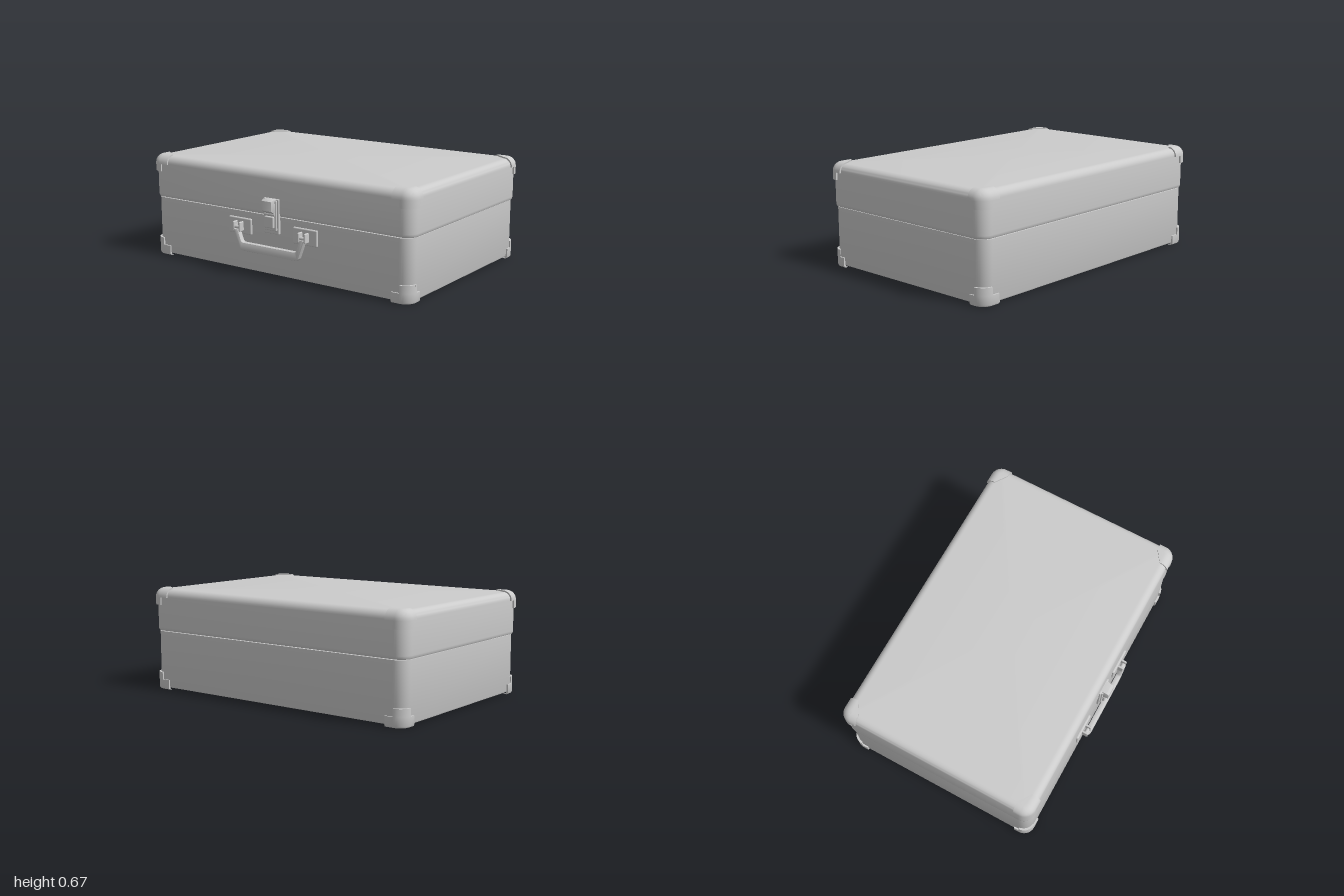
import * as THREE from 'three';
import { toCreasedNormals } from 'three/addons/utils/BufferGeometryUtils.js';
import { RoundedBoxGeometry } from 'three/addons/geometries/RoundedBoxGeometry.js';

const grey = new THREE.MeshStandardMaterial({ color: 0xcccccc, side: THREE.DoubleSide });
const CZ = -0.0225;   // case centre in z
const FRONT = 0.63;   // front wall of the lower case
const R = 0.075;      // plan radius of the vertical corners

function add(parent, name, geometry, x = 0, y = 0, z = 0) {
  const mesh = new THREE.Mesh(geometry, grey);
  mesh.name = name;
  mesh.position.set(x, y, z);
  parent.add(mesh);
  return mesh;
}

// Collects triangles, dropping those without area
function triangleList() {
  const data = [];
  const t = new THREE.Triangle();
  return {
    tri(a, b, c, flip) {
      t.set(a, b, c);
      if (t.getArea() < 1e-8) return;
      for (const p of flip ? [a, c, b] : [a, b, c]) data.push(p.x, p.y, p.z);
    },
    build() {
      const g = new THREE.BufferGeometry();
      g.setAttribute('position', new THREE.Float32BufferAttribute(data, 3));
      return toCreasedNormals(g, 0.6);
    },
  };
}

function skin(list, rings, flip) {
  for (let j = 0; j < rings.length - 1; j++) {
    for (let i = 0; i < rings[j].length - 1; i++) {
      const [a, b, c, d] = [rings[j][i], rings[j][i + 1], rings[j + 1][i + 1], rings[j + 1][i]];
      list.tri(a, b, c, flip);
      list.tri(a, c, d, flip);
    }
  }
}

// Thin tray wall from rounded rectangles; levels are [y, inset]
function shell(halfX, halfZ, levels, capped) {
  const list = triangleList();
  const rings = levels.map(([y, inset]) => {
    const ring = [];
    const r = Math.max(R - inset, 0.01);
    for (let q = 0; q < 4; q++) {
      const sx = q < 2 ? 1 : -1, sz = q === 0 || q === 3 ? 1 : -1;
      for (let k = 0; k <= 10; k++) {
        const t = (q + k / 10) * Math.PI / 2;
        ring.push(new THREE.Vector3(
          sx * (halfX - inset - r) + r * Math.sin(t), y,
          sz * (halfZ - inset - r) + r * Math.cos(t)));
      }
    }
    ring.push(ring[0].clone());
    return ring;
  });
  skin(list, rings);
  if (capped) {
    const top = rings[rings.length - 1];
    const mid = new THREE.Vector3(0, top[0].y, 0);
    for (let i = 0; i < top.length - 1; i++) list.tri(top[i], top[i + 1], mid);
  }
  return list.build();
}

// Corner guard; levels are [y, inset, reachX, reachZ, upward tilt of the normal]
function guard(sx, sz, halfX, halfZ, levels, capped) {
  const list = triangleList();
  const flip = sx * sz < 0;
  const thick = 0.014;
  const rings = levels.map(([y, inset, reachX, reachZ, tilt = 0]) => {
    const r = Math.max(R - inset, 0.01);
    const X = halfX - inset, Z = halfZ - inset;
    const side = thick * Math.cos(tilt), drop = thick * Math.sin(tilt);
    const pts = [[halfX - reachX, y - drop, Z - side], [halfX - reachX, y, Z]];
    for (let k = 0; k <= 10; k++) {
      const t = k / 10 * Math.PI / 2;
      pts.push([X - r + r * Math.sin(t), y, Z - r + r * Math.cos(t)]);
    }
    pts.push([X, y, halfZ - reachZ], [X - side, y - drop, halfZ - reachZ]);
    return pts.map(([px, py, pz]) => new THREE.Vector3(sx * px, py, sz * pz));
  });
  skin(list, rings, flip);
  if (capped) {
    // flat top patch with a slanted inner edge
    const top = rings[rings.length - 1], n = top.length;
    for (let i = 2; i < n - 2; i++) list.tri(top[1], top[i], top[i + 1], flip);
    list.tri(top[1], top[n - 2], top[n - 1], flip);
    list.tri(top[1], top[n - 1], top[0], flip);
  }
  return list.build();
}

// Quarter-round edge levels below a flat top
function roundOver(top, radius, extra = []) {
  const out = [];
  for (let k = 0; k <= 8; k++) {
    const t = k / 8 * Math.PI / 2;
    out.push([top - radius * (1 - Math.sin(t)), radius * (1 - Math.cos(t)), ...extra, t]);
  }
  return out;
}

function bevelled(shape, depth, bevel) {
  const g = new THREE.ExtrudeGeometry(shape, {
    depth: depth - 2 * bevel, bevelEnabled: true, bevelThickness: bevel,
    bevelSize: bevel, bevelOffset: -bevel, bevelSegments: 2, curveSegments: 6,
  });
  g.translate(0, 0, bevel);
  return toCreasedNormals(g, 0.6);
}

export function createModel() {
  const model = new THREE.Group();
  model.name = 'suitcase';

  // Case halves: open lower tray and domed-edge lid, each with a rim lip at the seam
  add(model, 'lowerCase', shell(0.98, 0.6525,
    [[0.012, 0.012], [0.015, 0.004], [0.024, 0], [0.386, 0], [0.386, 0.02]]), 0, 0, CZ);
  add(model, 'lid', shell(0.99, 0.657,
    [[0.39, 0.03], [0.39, 0.006], [0.396, 0.002], [0.41, 0], ...roundOver(0.662, 0.05)], true), 0, 0, CZ);

  // Corner guards with stepped edges
  for (const sx of [1, -1]) {
    for (const sz of [1, -1]) {
      add(model, 'lidCornerGuard', guard(sx, sz, 1, 0.667, [
        [0.56, 0.014, 0.085, 0.08], [0.56, 0, 0.085, 0.08], [0.608, 0, 0.085, 0.08],
        ...roundOver(0.671, 0.06, [0.14, 0.115]).map((l, i) => (i ? l : [0.608, ...l.slice(1)])),
      ], true), 0, 0, CZ);
      add(model, 'baseCornerGuard', guard(sx, sz, 0.99, 0.6625, [
        [0, 0.035, 0.13, 0.11], [0, 0.012, 0.13, 0.11], [0.004, 0.004, 0.13, 0.11],
        [0.013, 0, 0.13, 0.11], [0.065, 0, 0.13, 0.11], [0.065, 0, 0.075, 0.06],
        [0.113, 0, 0.075, 0.06], [0.113, 0.014, 0.075, 0.06],
      ]), 0, 0, CZ);
    }
  }

  // Carrying handle: a splayed U
  const u = new THREE.Shape();
  u.moveTo(-0.275, 0.28);
  u.lineTo(-0.232, 0.165);
  u.quadraticCurveTo(-0.225, 0.146, -0.205, 0.146);
  u.lineTo(0.205, 0.146);
  u.quadraticCurveTo(0.225, 0.146, 0.232, 0.165);
  u.lineTo(0.275, 0.28);
  u.lineTo(0.24, 0.28);
  u.lineTo(0.215, 0.212);
  u.quadraticCurveTo(0.21, 0.2, 0.198, 0.2);
  u.lineTo(-0.198, 0.2);
  u.quadraticCurveTo(-0.21, 0.2, -0.215, 0.212);
  u.lineTo(-0.24, 0.28);
  u.closePath();
  add(model, 'handle', bevelled(u, 0.036, 0.008), 0, 0, 0.645);

  // Handle mounts: plate, two lugs and a hinge pin
  for (const s of [1, -1]) {
    const mount = new THREE.Group();
    mount.name = 'handleMount';
    mount.position.set(s * 0.252, 0.293, FRONT);
    model.add(mount);
    add(mount, 'mountPlate', new RoundedBoxGeometry(0.18, 0.103, 0.024, 2, 0.008));
    for (const e of [1, -1]) {
      add(mount, 'lug', new RoundedBoxGeometry(0.014, 0.062, 0.05, 2, 0.006), e * 0.024, 0, 0.024);
    }
    const pin = new THREE.CylinderGeometry(0.012, 0.012, 0.05, 12).rotateZ(Math.PI / 2);
    add(mount, 'hingePin', pin, 0, -0.005, 0.032);
  }

  // Latch: back plate, chamfered upper catch and lower lever
  const latch = new THREE.Group();
  latch.name = 'latch';
  latch.position.z = FRONT;
  model.add(latch);
  add(latch, 'latchPlate', new RoundedBoxGeometry(0.118, 0.22, 0.03, 2, 0.006), 0, 0.388, 0);
  add(latch, 'latchFrame', new RoundedBoxGeometry(0.094, 0.19, 0.03, 2, 0.005), 0, 0.395, 0.01);
  const side = new THREE.Shape();
  [[0, 0.415], [0.035, 0.41], [0.062, 0.428], [0.062, 0.488], [0.045, 0.498], [0, 0.498]]
    .forEach(([z, y], i) => (i ? side.lineTo(-z, y) : side.moveTo(-z, y)));
  const catchGeo = bevelled(side, 0.076, 0.004).rotateY(Math.PI / 2);
  add(latch, 'catch', catchGeo, -0.038, 0, 0);
  add(latch, 'lever', new RoundedBoxGeometry(0.068, 0.072, 0.04, 2, 0.006), 0, 0.354, 0.02);
  add(latch, 'latchHinge', new THREE.CylinderGeometry(0.012, 0.012, 0.08, 12).rotateZ(Math.PI / 2), 0, 0.402, 0.022);

  return model;
}
